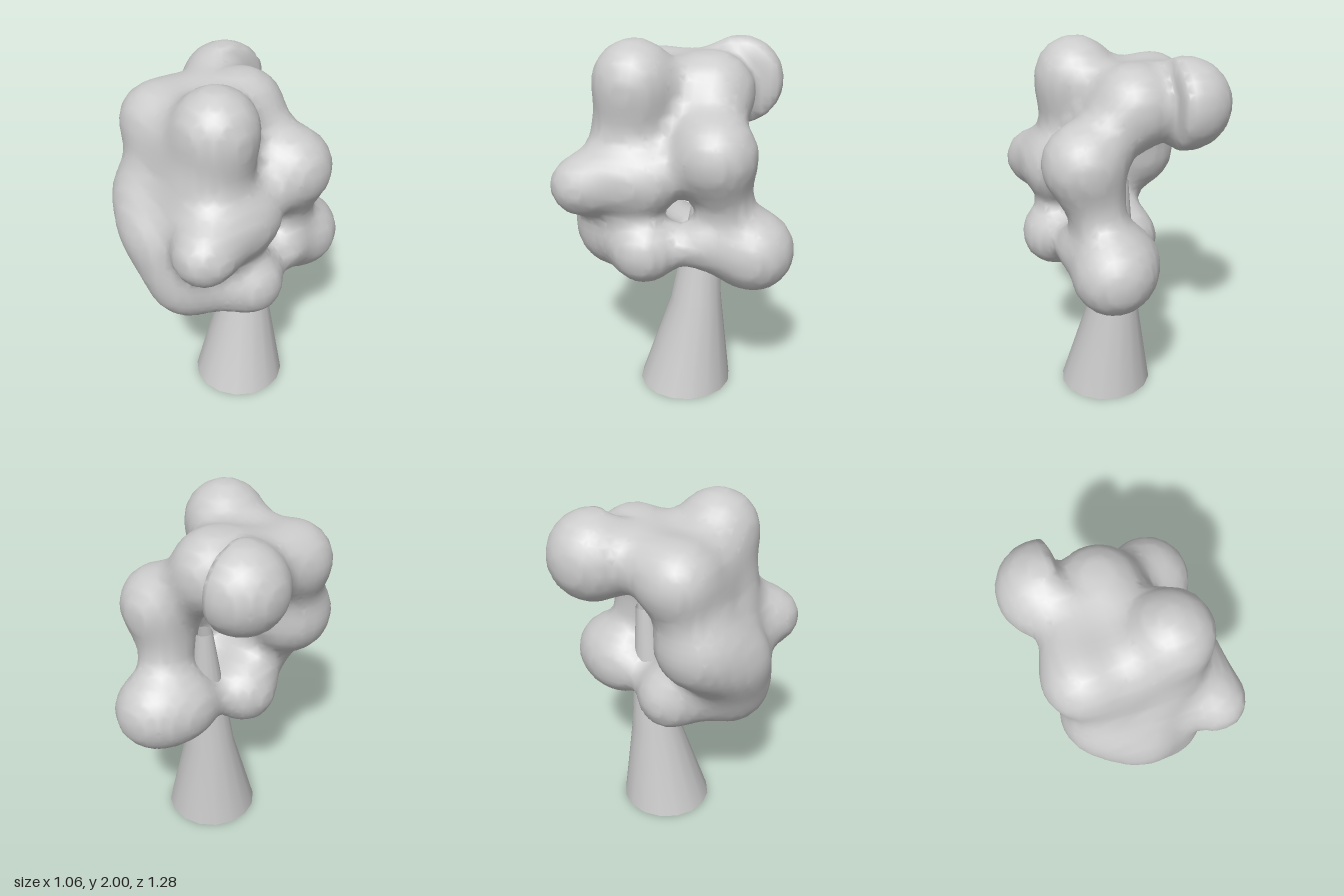
import * as THREE from 'three';
import { mergeVertices } from 'three/addons/utils/BufferGeometryUtils.js';

// Foliage lobes: x, y, z, radius
const LOBES = [
  [0.17, 1.78, 0.22, 0.22], [-0.26, 1.67, 0.24, 0.21], // upper front pair
  [-0.04, 1.6, 0.23, 0.2], [0.18, 1.55, 0.23, 0.17],   // fill below the pair
  [-0.25, 1.73, 0.02, 0.13],                           // upper side fill
  [-0.05, 1.69, -0.14, 0.225],                         // upper middle
  [0.24, 1.44, -0.23, 0.22],                           // middle back
  [0.18, 1.19, -0.26, 0.14],                           // neck between back lobes
  [0.14, 0.9, -0.42, 0.22], [0.04, 0.9, -0.27, 0.17],  // low back
  [0.27, 0.95, -0.17, 0.11],                           // low back, side tip
  [-0.19, 1.31, 0.33, 0.235], [-0.03, 1.18, 0.43, 0.21], [0.13, 1.42, 0.3, 0.16], // front face
  [0.365, 1.26, 0.46, 0.16],                           // front corner
  [0.1, 0.95, 0.35, 0.24],                             // low front
  [-0.065, 0.85, 0.09, 0.19], [0.33, 0.92, 0.13, 0.18], // low sides
  [0.33, 1.3, 0.27, 0.14], [0.31, 1.3, 0.1, 0.14],     // side band running to the back
];
const BLEND = 0.16;

function smoothUnion(a, b, k) {
  const h = Math.max(k - Math.abs(a - b), 0) / k;
  return Math.min(a, b) - h * h * k / 4;
}

// Signed distance to the blended foliage, negative inside
function foliageDistance(x, y, z) {
  let d = 10;
  for (const [cx, cy, cz, r] of LOBES) d = smoothUnion(d, Math.hypot(x - cx, y - cy, z - cz) - r, BLEND);
  // the upper back lobe has one sliced side
  const sliced = Math.max(Math.hypot(x + 0.295, y - 1.715, z + 0.23) - 0.24, x + 0.22);
  return smoothUnion(d, sliced, 0.08);
}

// Skin a distance function: one vertex per crossed cell, one quad per crossed edge
function skin(distance, min, max, cell) {
  const n = min.map((v, i) => Math.ceil((max[i] - v) / cell) + 1);
  const step = [1, n[0], n[0] * n[1]];
  const at = (i, j, k) => i + j * step[1] + k * step[2];
  const field = new Float32Array(n[0] * n[1] * n[2]);
  const eachPoint = (visit) => {
    for (let k = 0; k < n[2]; k++)
      for (let j = 0; j < n[1]; j++)
        for (let i = 0; i < n[0]; i++) visit([i, j, k], at(i, j, k));
  };
  eachPoint((g, id) => {
    field[id] = distance(...g.map((v, a) => min[a] + v * cell));
  });

  const positions = [], indices = [], vertexOf = new Map();
  eachPoint((g, id) => {
    if (g.some((v, a) => v >= n[a] - 1)) return;
    const sum = [0, 0, 0];
    let count = 0;
    for (let a = 0; a < 3; a++) {
      const b = (a + 1) % 3, c = (a + 2) % 3;
      for (let m = 0; m < 4; m++) {
        const u = m & 1, v = m >> 1;
        const p = id + u * step[b] + v * step[c];
        const f0 = field[p], f1 = field[p + step[a]];
        if ((f0 < 0) === (f1 < 0)) continue;
        sum[a] += f0 / (f0 - f1);
        sum[b] += u;
        sum[c] += v;
        count++;
      }
    }
    if (!count) return;
    vertexOf.set(id, positions.length / 3);
    for (let a = 0; a < 3; a++) positions.push(min[a] + (g[a] + sum[a] / count) * cell);
  });

  eachPoint((g, id) => {
    for (let a = 0; a < 3; a++) {
      const b = (a + 1) % 3, c = (a + 2) % 3;
      if (g[a] >= n[a] - 1 || !g[b] || !g[c]) continue;
      const inside = field[id] < 0;
      if (inside === (field[id + step[a]] < 0)) continue;
      const q = [id - step[b] - step[c], id - step[c], id, id - step[b]].map((cellId) => vertexOf.get(cellId));
      if (q.includes(undefined)) continue;
      if (!inside) q.reverse();
      indices.push(q[0], q[1], q[2], q[0], q[2], q[3]);
    }
  });

  const geometry = new THREE.BufferGeometry();
  geometry.setAttribute('position', new THREE.Float32BufferAttribute(positions, 3));
  geometry.setIndex(indices);
  geometry.computeVertexNormals();
  return geometry;
}

// Leaning, tapering tube with three rings, open at the bottom
function trunkGeometry() {
  const rings = [[0.03, 1.3, -0.14, 0.05], [0.05, 0.52, -0.08, 0.144], [0.08, 0, -0.025, 0.26]];
  const tube = new THREE.CylinderGeometry(1, 1, 2, 16, 2, true);
  const p = tube.attributes.position;
  for (let i = 0; i < p.count; i++) {
    const [cx, y, cz, r] = rings[Math.round(1 - p.getY(i))];
    p.setXYZ(i, cx + p.getX(i) * r, y, cz + p.getZ(i) * r);
  }
  // weld the seam so the shading runs all the way round
  tube.deleteAttribute('uv');
  tube.deleteAttribute('normal');
  const geometry = mergeVertices(tube);
  geometry.computeVertexNormals();
  return geometry;
}

export function createModel() {
  const model = new THREE.Group();
  model.name = 'tree';
  const material = new THREE.MeshStandardMaterial({ color: 0xcccccc, side: THREE.DoubleSide });

  const trunk = new THREE.Mesh(trunkGeometry(), material);
  trunk.name = 'trunk';

  const foliage = new THREE.Mesh(skin(foliageDistance, [-0.65, 0.55, -0.75], [0.65, 2.1, 0.75], 0.045), material);
  foliage.name = 'foliage';

  model.add(trunk, foliage);
  return model;
}
